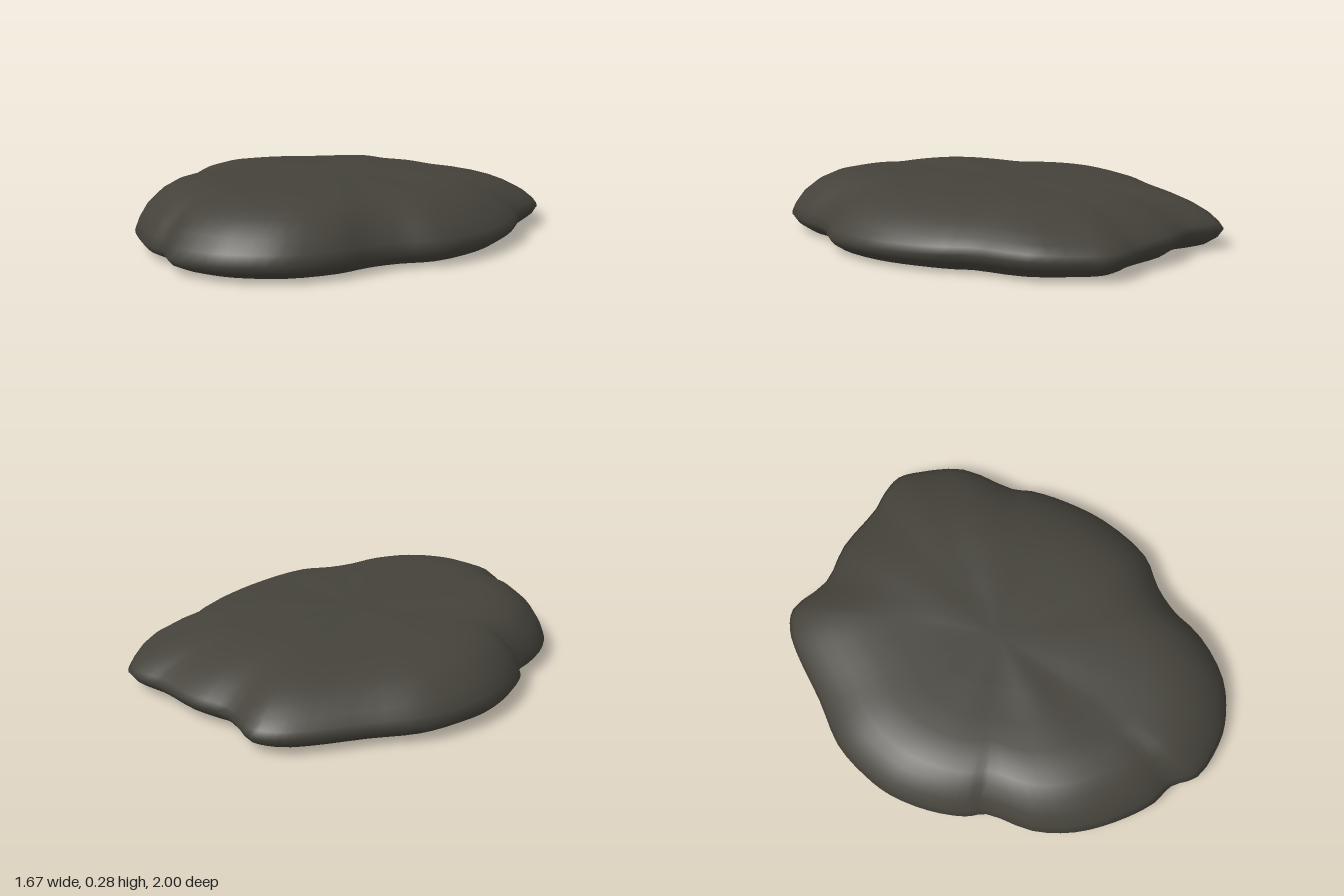
import * as THREE from 'three';

// Outline seen from above, as [x, z], running back, left side, front, right side
const OUTLINE = [
  [0.17, -1], [0.27, -0.96], [0.44, -0.84], [0.56, -0.61], [0.63, -0.54], [0.72, -0.4], [0.8, -0.21],
  [0.832, 0.05], [0.775, 0.21], [0.755, 0.35], [0.765, 0.52], [0.71, 0.73], [0.6, 0.87], [0.5, 0.94],
  [0.32, 0.995], [0.2, 0.955], [0.09, 0.965], [-0.09, 0.925], [-0.26, 0.85], [-0.4, 0.73], [-0.51, 0.55],
  [-0.59, 0.5], [-0.7, 0.38], [-0.79, 0.22], [-0.825, 0.08], [-0.835, -0.1], [-0.78, -0.32], [-0.73, -0.57],
  [-0.69, -0.68], [-0.62, -0.755], [-0.42, -0.77], [-0.25, -0.865], [-0.02, -0.93], [0.07, -0.975],
];

// Cross-section from underside to crown: [scale, height at front, height at back]
const PROFILE = [
  [0.4, 0.012, 0.012], [0.75, 0.01, 0.01], [0.87, 0.01, 0.01], [0.92, 0.018, 0.022], [0.975, 0.045, 0.055],
  [1, 0.075, 0.09], [0.98, 0.12, 0.115], [0.94, 0.178, 0.145], [0.87, 0.235, 0.18], [0.8, 0.267, 0.207],
  [0.72, 0.284, 0.23], [0.63, 0.29, 0.25], [0.5, 0.288, 0.263], [0.3, 0.286, 0.274],
];

export function createModel() {
  const group = new THREE.Group();
  const stone = new THREE.MeshStandardMaterial({ color: 0x44423a });
  stone.name = 'dark stone';

  const N = 102;
  const curve = new THREE.CatmullRomCurve3(OUTLINE.map(([x, z]) => new THREE.Vector3(x, 0, z)), true);
  const rim = Array.from({ length: N }, (_, i) => curve.getPoint(i / N));

  // Rings scaled from the rim; the back slopes more gently than the front
  const pos = [];
  for (const [s, front, back] of PROFILE) {
    for (const p of rim) {
      const r = Math.hypot(p.x, p.z);
      const y = THREE.MathUtils.lerp(back, front, 0.5 + 0.5 * p.z / r);
      const ripple = 0.004 * Math.sin(7 * p.x + 3 * p.z) * Math.min(1, y / 0.1);
      pos.push(p.x * s, y + ripple, p.z * s);
    }
  }
  const bottom = pos.length / 3;
  pos.push(0, 0.012, 0, 0, 0.283, 0);

  // Join neighbouring rings, then close underside and crown
  const index = [];
  const last = (PROFILE.length - 1) * N;
  for (let i = 0; i < N; i++) {
    const k = (i + 1) % N;
    for (let j = 0; j < last; j += N) {
      index.push(j + i, j + N + i, j + k, j + k, j + N + i, j + N + k);
    }
    index.push(bottom, i, k, bottom + 1, last + k, last + i);
  }

  const geometry = new THREE.BufferGeometry();
  geometry.setAttribute('position', new THREE.Float32BufferAttribute(pos, 3));
  geometry.setIndex(index);
  geometry.computeVertexNormals();

  const rock = new THREE.Mesh(geometry, stone);
  rock.name = 'flatRock';
  group.add(rock);
  return group;
}
